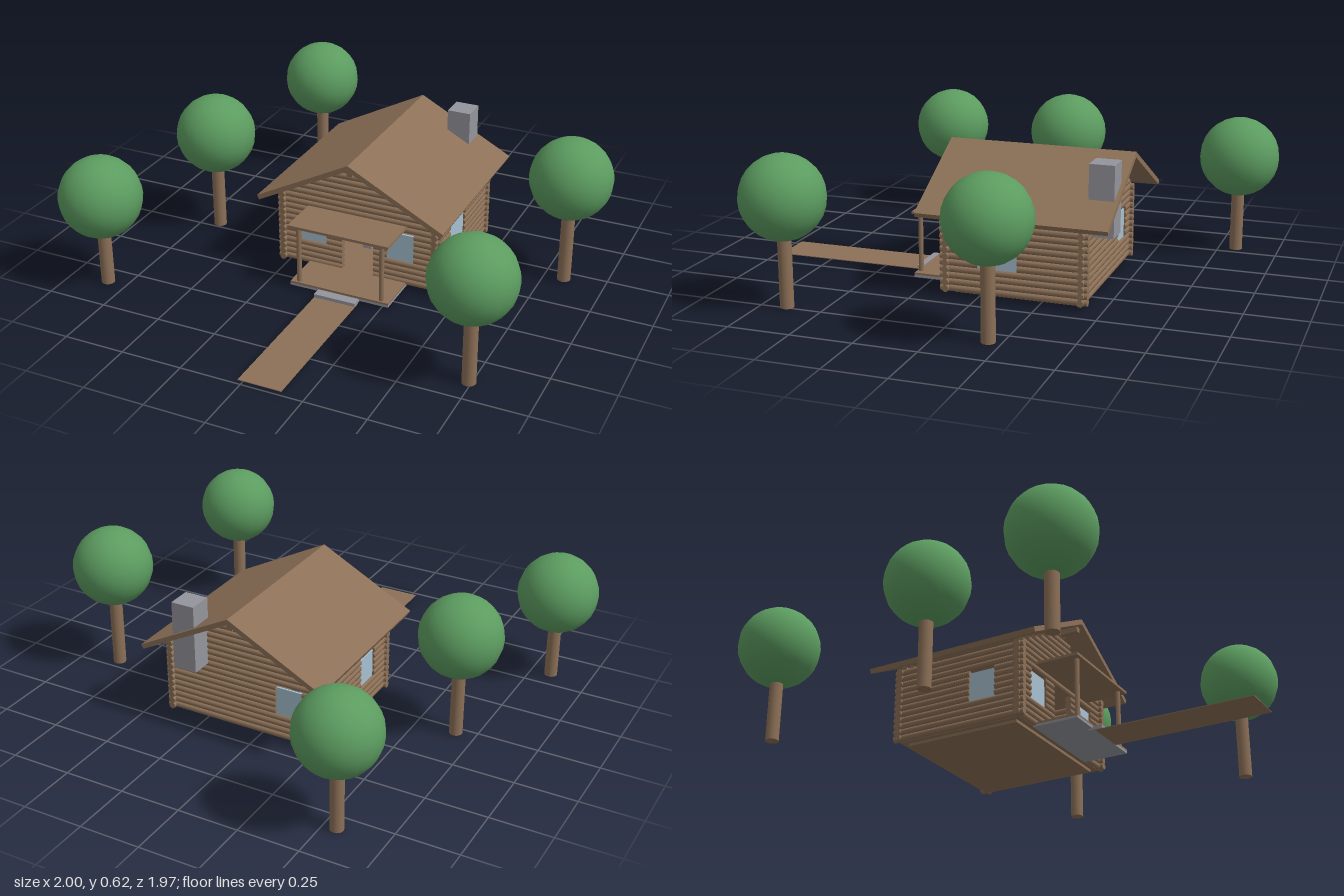
import * as THREE from 'three';

const material = (name, color) => {
  const m = new THREE.MeshStandardMaterial({ color });
  m.name = name;
  return m;
};

export function createModel() {
  const wood = material('wood', 0x8c7057);
  const stone = material('stone', 0x94959c);
  const glass = material('glass', 0xa6c0d0);
  const leaf = material('leaf', 0x5c9c60);

  const add = (parent, name, geometry, mat, x = 0, y = 0, z = 0) => {
    const mesh = new THREE.Mesh(geometry, mat);
    mesh.name = name;
    mesh.position.set(x, y, z);
    parent.add(mesh);
    return mesh;
  };
  // Box given by its extents on each axis
  const block = (parent, name, mat, [x0, x1], [y0, y1], [z0, z1]) =>
    add(parent, name, new THREE.BoxGeometry(x1 - x0, y1 - y0, z1 - z0), mat,
      (x0 + x1) / 2, (y0 + y1) / 2, (z0 + z1) / 2);

  const model = new THREE.Group();
  model.name = 'cabinInTheWoods';

  // Cabin, with its own centre
  const cabin = new THREE.Group();
  cabin.name = 'cabin';
  cabin.position.set(0.068, 0, -0.143);
  model.add(cabin);
  block(cabin, 'foundation', wood, [-0.305, 0.305], [0.002, 0.014], [-0.2475, 0.2475]);
  block(cabin, 'floor', wood, [-0.325, 0.325], [0.014, 0.022], [-0.27, 0.27]);

  // Log walls: each wall runs along its local x and faces local +z
  const logRadius = 0.0138, pitch = 0.026, firstLog = 0.028, wallLogs = 12;
  const ridge = 0.522, slope = 0.525;
  const sill = 0.115, lintel = 0.238;
  const wall = (name, half, distance, turn, windows, door, gable) => {
    const group = new THREE.Group();
    group.name = name;
    group.rotation.y = turn;
    group.position.set(Math.sin(turn) * distance, 0, Math.cos(turn) * distance);
    cabin.add(group);
    const rows = gable ? 19 : wallLogs;
    for (let i = 0; i < rows; i++) {
      const y = firstLog + i * pitch;
      const reach = i < wallLogs ? half : (ridge - y - logRadius) / slope;
      if (reach < 0.015) continue;
      // Cut the log at every opening on this row
      const cuts = [];
      if (y > sill && y < lintel) cuts.push(...windows);
      if (door && y < lintel) cuts.push(door);
      cuts.sort((a, b) => a[0] - b[0]);
      let start = -reach;
      for (const [from, to] of [...cuts, [reach, reach]]) {
        const log = add(group, 'log',
          new THREE.CylinderGeometry(logRadius, logRadius, from - start, 10), wood, (start + from) / 2, y, 0);
        log.rotation.z = Math.PI / 2;
        start = to;
      }
    }
    for (const span of windows) block(group, 'windowPane', glass, span, [sill, lintel], [-0.004, 0.004]);
  };
  wall('frontWall', 0.355, 0.272, 0, [[-0.253, -0.138], [0.127, 0.242]], [-0.068, 0.068], true);
  wall('backWall', 0.355, 0.272, Math.PI, [[0.145, 0.26]], null, true);
  wall('leftWall', 0.297, 0.332, Math.PI / 2, [[-0.143, 0.017]], null, false);
  wall('rightWall', 0.297, 0.332, -Math.PI / 2, [[0.053, 0.168]], null, false);

  // Pitched roof: one chevron section extruded from back to front
  const section = new THREE.Shape([
    [0, 0.545], [-0.4, 0.335], [-0.391, 0.317], [0, 0.522], [0.391, 0.317], [0.4, 0.335],
  ].map(([x, y]) => new THREE.Vector2(x, y)));
  add(cabin, 'roof', new THREE.ExtrudeGeometry(section, { depth: 0.765, bevelEnabled: false }),
    wood, 0, 0, -0.387);
  block(cabin, 'ridgeBeam', wood, [-0.012, 0.012], [0.49, 0.512], [-0.37, 0.36]);

  // Chimney on the back wall
  block(model, 'chimney', stone, [0.227, 0.325], [0.265, 0.548], [-0.515, -0.415]);

  // Furniture seen through the open doorway
  block(model, 'stove', stone, [0, 0.04], [0.022, 0.065], [-0.1, -0.06]);
  block(model, 'tableTop', wood, [0.083, 0.137], [0.1, 0.11], [-0.08, 0]);
  for (const x of [0.088, 0.132]) for (const z of [-0.074, -0.006])
    block(model, 'tableLeg', wood, [x - 0.004, x + 0.004], [0.022, 0.1], [z - 0.004, z + 0.004]);

  // Porch
  const porch = new THREE.Group();
  porch.name = 'porch';
  model.add(porch);
  block(porch, 'porchSlab', stone, [-0.146, 0.28], [0.01, 0.02], [0.125, 0.318]);
  block(porch, 'porchDeck', wood, [-0.146, 0.28], [0.02, 0.028], [0.125, 0.318]);
  block(porch, 'porchRoof', wood, [-0.15, 0.28], [0.272, 0.283], [0.13, 0.325]);
  for (const x of [-0.113, 0.245])
    add(porch, 'porchPost', new THREE.CylinderGeometry(0.01, 0.01, 0.246, 10), wood, x, 0.15, 0.302);
  block(porch, 'step', stone, [-0.022, 0.155], [0.004, 0.018], [0.3, 0.358]);
  block(model, 'path', wood, [-0.022, 0.155], [0, 0.003], [0.33, 0.98]);

  // Trees: x, crown height, z
  const trees = [
    [-0.555, 0.407, -0.822], [-0.668, 0.432, -0.032], [-0.835, 0.385, 0.588],
    [0.832, 0.455, -0.2], [0.74, 0.432, 0.645],
  ];
  for (const [x, y, z] of trees) {
    const tree = new THREE.Group();
    tree.name = 'tree';
    tree.position.set(x, 0, z);
    add(tree, 'trunk', new THREE.CylinderGeometry(0.027, 0.027, y, 14), wood, 0, y / 2, 0);
    add(tree, 'crown', new THREE.SphereGeometry(0.166, 20, 14), leaf, 0, y, 0);
    model.add(tree);
  }
  return model;
}
